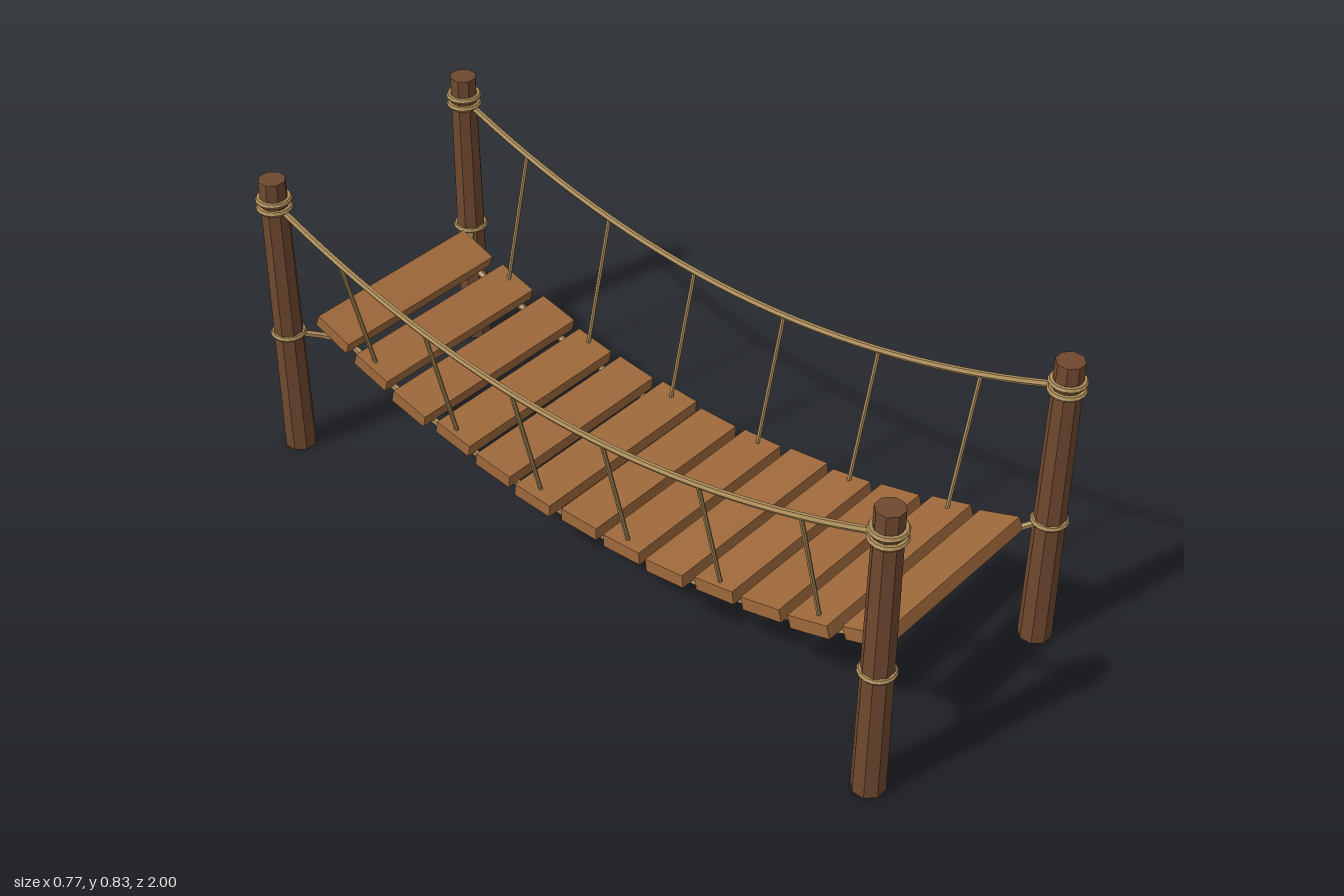
import * as THREE from 'three';

const flat = (name, color) => {
  const m = new THREE.MeshStandardMaterial({ color, flatShading: true });
  m.name = name;
  return m;
};

const POST_X = 0.336, POST_Z = 0.953, ROPE_X = 0.237;
// sagging curves of the deck ropes and the handrails
const deckY = z => 0.172 + 0.193 * (z / POST_Z) ** 2;
const railY = z => 0.566 + 0.193 * (z / POST_Z) ** 2;

export function createModel() {
  const postWood = flat('post wood', 0x70492f);
  const plankWood = flat('plank wood', 0xa06a3c);
  const ropeFibre = flat('rope', 0xa98a56);

  const model = new THREE.Group();
  model.name = 'ropeBridge';

  const add = (geometry, material, name) => {
    const mesh = new THREE.Mesh(geometry, material);
    mesh.name = name;
    model.add(mesh);
    return mesh;
  };
  const rope = (points, segments, radius, name) =>
    add(new THREE.TubeGeometry(new THREE.CatmullRomCurve3(points), segments, radius, 6), ropeFibre, name);

  // tapered octagonal posts with rope lashings
  const postGeometry = new THREE.CylinderGeometry(0.0355, 0.0425, 0.83, 8).rotateY(Math.PI / 8);
  const lashingGeometry = new THREE.TorusGeometry(0.039, 0.008, 6, 16).rotateX(Math.PI / 2);
  for (const sx of [-1, 1]) {
    for (const sz of [-1, 1]) {
      add(postGeometry, postWood, 'post').position.set(sx * POST_X, 0.415, sz * POST_Z);
      for (const y of [0.365, 0.75, 0.774]) {
        add(lashingGeometry, ropeFibre, 'lashing').position.set(sx * POST_X, y, sz * POST_Z);
      }
    }
  }

  // planks following the sag, with slightly varied lengths
  const COUNT = 13, LENGTHS = [0.534, 0.544, 0.56];
  for (let i = 0; i < COUNT; i++) {
    const z = (i - (COUNT - 1) / 2) * 0.144;
    const angle = Math.atan(2 * 0.193 * z / POST_Z ** 2);
    const plank = add(new THREE.BoxGeometry(LENGTHS[i % 3], 0.036, 0.116), plankWood, 'plank');
    plank.position.set(0, deckY(z) + 0.026, z);
    plank.rotation.x = -angle;
  }

  for (const s of [-1, 1]) {
    // handrail rope
    const rail = [], deck = [];
    for (let i = -6; i <= 6; i++) {
      const z = i / 6 * POST_Z;
      rail.push(new THREE.Vector3(s * POST_X, railY(z), z));
      const d = i / 6 * 0.85;
      deck.push(new THREE.Vector3(s * ROPE_X, deckY(d), d));
    }
    rope(rail, 32, 0.009, 'handrail');

    // deck rope, turning outward to the posts at both ends
    deck.unshift(new THREE.Vector3(s * POST_X, 0.365, -POST_Z));
    deck.push(new THREE.Vector3(s * POST_X, 0.365, POST_Z));
    rope(deck, 48, 0.009, 'deckRope');

    // hangers between handrail and deck rope
    for (let i = 0; i < 6; i++) {
      const z = (i - 2.5) * 0.29;
      rope([
        new THREE.Vector3(s * POST_X, railY(z), z),
        new THREE.Vector3(s * ROPE_X, deckY(z), z),
      ], 1, 0.0058, 'hanger');
    }
  }
  return model;
}
